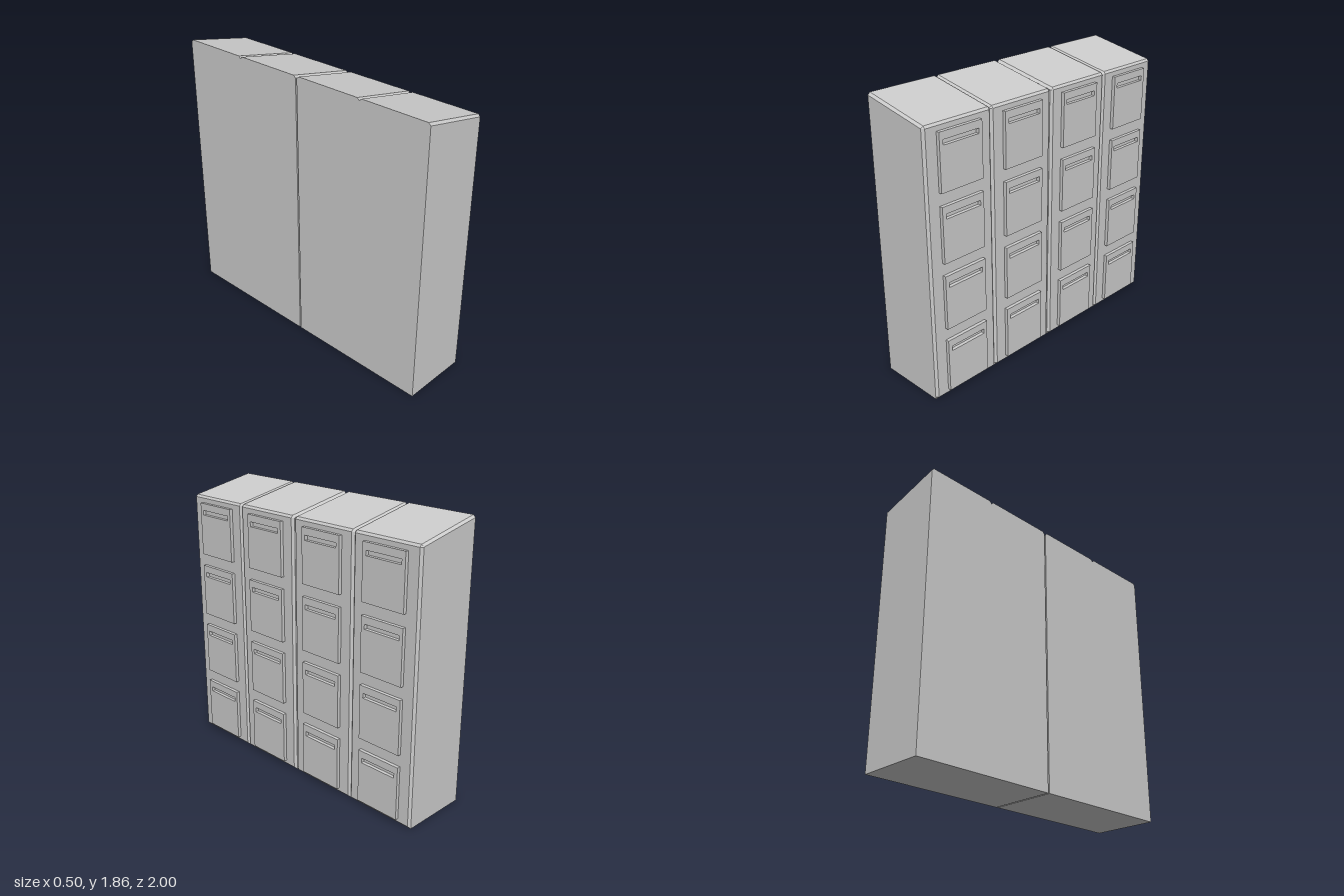
import * as THREE from 'three';

const material = new THREE.MeshStandardMaterial({ color: 0xcccccc, flatShading: true });

const FRONT = 0.222;      // x of the cabinet's door face
const WIDTH = 0.4975;     // width of one cabinet column
const BEVEL = 0.015;

// Cabinet with a sloping roof, chamfered along the front and roof edges
function cabinetGeometry() {
  const outer = [[-0.25, 0], [0.207, 0], [0.207, 0.015], [0.207, 1.755], [0.205, 1.757], [-0.25, 1.845]];
  const inner = [[-0.25, 0], [0.207, 0], [FRONT, 0.015], [FRONT, 1.755], [0.21, 1.77], [-0.25, 1.86]];
  const h = WIDTH / 2;
  const rings = [[outer, -h], [inner, BEVEL - h], [inner, h - BEVEL], [outer, h]];
  const n = outer.length;
  const positions = [];
  const index = [];
  rings.forEach(([profile, z]) => profile.forEach(([x, y]) => positions.push(x, y, z)));
  for (let k = 0; k < rings.length - 1; k++) {
    for (let i = 0; i < n; i++) {
      const a = k * n + i;
      const b = k * n + (i + 1) % n;
      index.push(a, b, b + n, a, b + n, a + n);
    }
  }
  // End caps
  const last = (rings.length - 1) * n;
  for (let i = 1; i < n - 1; i++) {
    index.push(0, i + 1, i, last, last + i, last + i + 1);
  }
  const indexed = new THREE.BufferGeometry();
  indexed.setAttribute('position', new THREE.Float32BufferAttribute(positions, 3));
  indexed.setIndex(index);
  const geometry = indexed.toNonIndexed();
  geometry.computeVertexNormals();
  return geometry;
}

function rectangle(path, w, y0, y1) {
  path.moveTo(-w / 2, y0);
  path.lineTo(w / 2, y0);
  path.lineTo(w / 2, y1);
  path.lineTo(-w / 2, y1);
  path.closePath();
  return path;
}

// Raised door with a horizontal slot near its top, facing +x
function doorGeometry() {
  const shape = rectangle(new THREE.Shape(), 0.315, 0, 0.36);
  shape.holes.push(rectangle(new THREE.Path(), 0.262, 0.28, 0.312));
  const geometry = new THREE.ExtrudeGeometry(shape, { depth: 0.023, bevelEnabled: false });
  return geometry.rotateY(Math.PI / 2);
}

export function createModel() {
  const model = new THREE.Group();
  model.name = 'lockers';
  const cabinet = cabinetGeometry();
  const door = doorGeometry();

  for (const side of [-1, 1]) {
    for (const slot of [0, 1]) {
      const column = new THREE.Group();
      column.name = 'lockerColumn';
      // A narrow gap separates the two middle columns
      column.position.z = side * (0.005 + WIDTH * (slot + 0.5));

      const body = new THREE.Mesh(cabinet, material);
      body.name = 'cabinet';
      column.add(body);

      for (let row = 0; row < 4; row++) {
        const panel = new THREE.Mesh(door, material);
        panel.name = 'door';
        panel.position.set(FRONT, 0.038 + row * 0.442, 0);
        column.add(panel);
      }
      model.add(column);
    }
  }
  return model;
}
